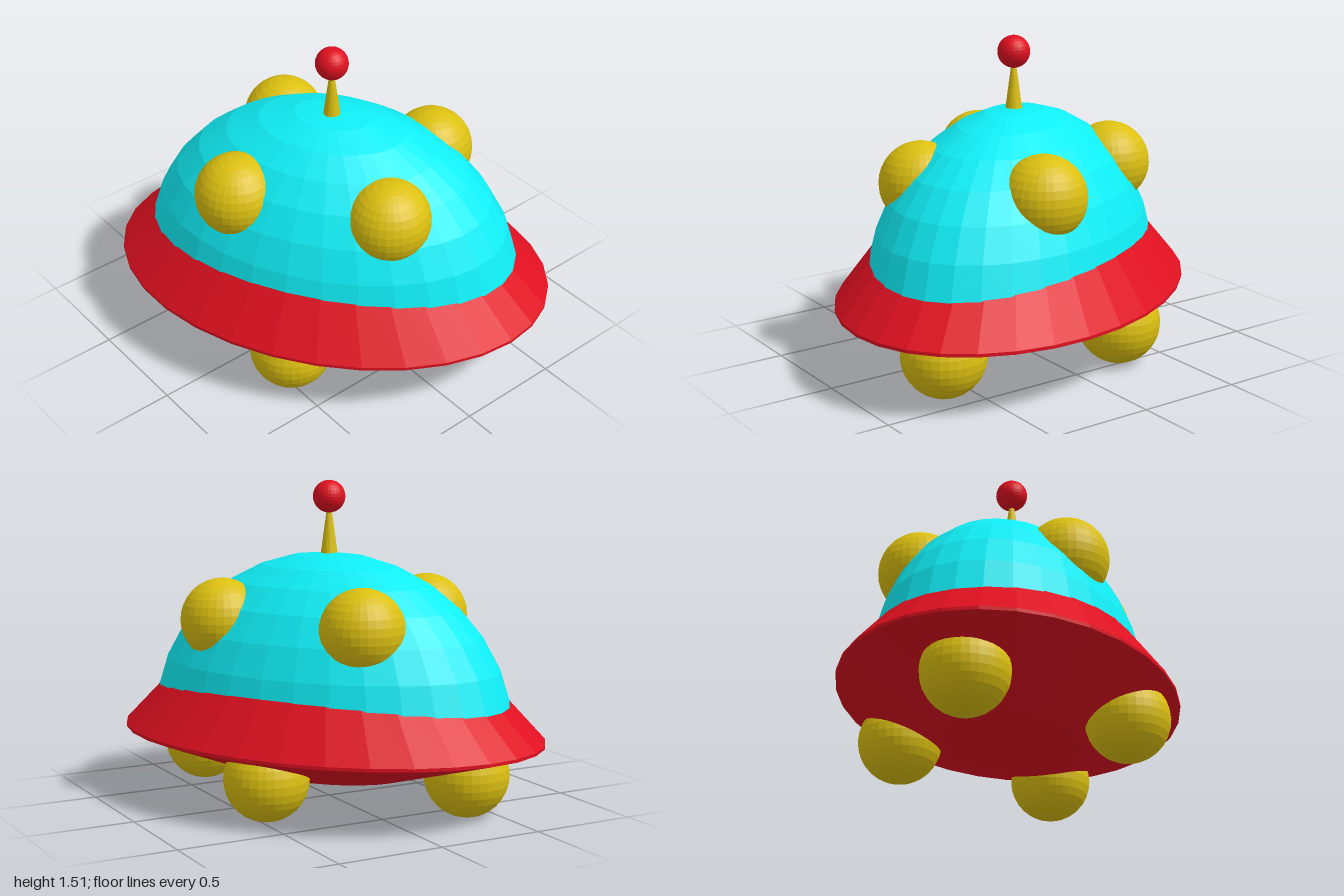
import * as THREE from 'three';

const paint = (color) => new THREE.MeshStandardMaterial({ color, flatShading: true });

export function createModel() {
  const model = new THREE.Group();
  model.name = 'flyingSaucer';
  const red = paint(0xe01020);
  const cyan = paint(0x10eef6);
  const yellow = paint(0xdcc010);

  const add = (parent, name, geometry, material, x = 0, y = 0, z = 0) => {
    const mesh = new THREE.Mesh(geometry, material);
    mesh.name = name;
    mesh.position.set(x, y, z);
    parent.add(mesh);
    return mesh;
  };

  // Oval body, its long axis turned 30 degrees from x
  const body = new THREE.Group();
  body.name = 'body';
  body.rotation.y = Math.PI / 6;
  model.add(body);

  // Saucer: flat bottom, sloping underside, thin rim, conical top hidden under the dome
  const profile = [[0, 0.135], [0.4, 0.135], [1, 0.32], [1, 0.335], [0.7, 0.652]]
    .map(([r, y]) => new THREE.Vector2(r, y));
  add(body, 'saucer', new THREE.LatheGeometry(profile, 32), red).scale.set(1.067, 1, 0.764);

  // Dome: upper half of an ellipsoid
  const half = new THREE.SphereGeometry(1, 32, 8, 0, Math.PI * 2, 0, Math.PI / 2);
  add(body, 'dome', half, cyan, 0, 0.33, 0).scale.set(0.921, 0.845, 0.624);

  // Feet at the ends of the long and short axes
  const ball = new THREE.SphereGeometry(0.195, 32, 16);
  for (const [x, z] of [[0.73, 0], [-0.73, 0], [0, 0.54], [0, -0.54]]) {
    add(body, 'foot', ball, yellow, x, 0.197, z);
  }

  // Lamps set into the dome
  for (const [x, z] of [[0.475, 0.06], [-0.49, -0.1], [0.17, -0.475], [-0.115, 0.468]]) {
    add(model, 'domeLamp', ball, yellow, x, 0.865, z);
  }

  // Antenna with a ball tip
  add(model, 'antennaRod', new THREE.CylinderGeometry(0.008, 0.042, 0.25, 16), yellow, 0, 1.275, 0);
  add(model, 'antennaTip', new THREE.SphereGeometry(0.076, 32, 16), red, 0, 1.434, 0);

  return model;
}
